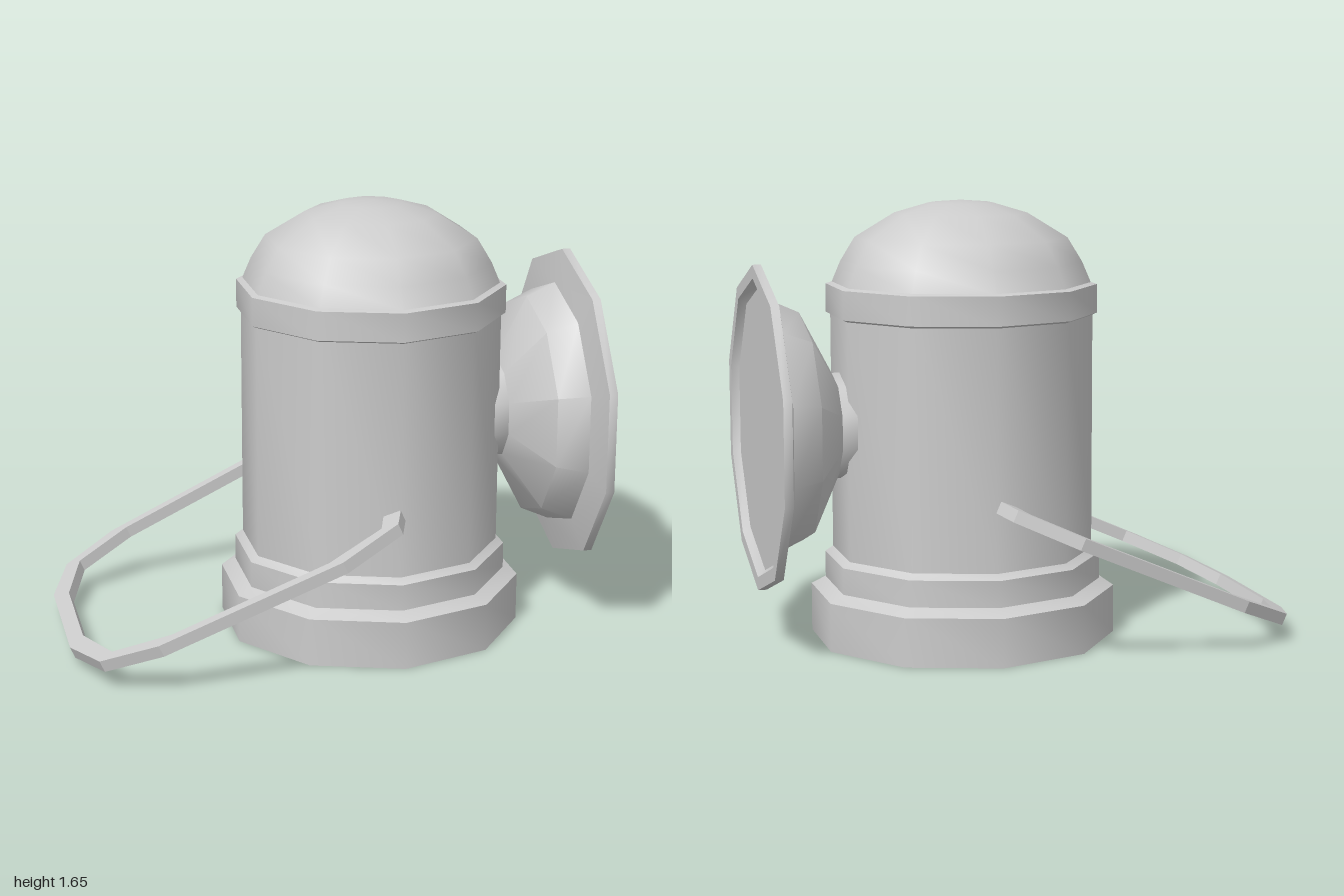
import * as THREE from 'three';
import { toCreasedNormals } from 'three/addons/utils/BufferGeometryUtils.js';

const SIDES = 10;
const BODY_X = 0.21;

// Ten-sided turned part: smooth around, sharp at the profile steps
function turned(profile) {
  const points = profile.map(([r, y]) => new THREE.Vector2(r, y));
  return toCreasedNormals(new THREE.LatheGeometry(points, SIDES), 0.7);
}

export function createModel() {
  const group = new THREE.Group();
  const material = new THREE.MeshStandardMaterial({ color: 0xcccccc });
  const add = (name, geometry, x = 0, y = 0) => {
    const mesh = new THREE.Mesh(geometry, material);
    mesh.name = name;
    mesh.position.set(x, y, 0);
    group.add(mesh);
    return mesh;
  };

  // Stepped base and cylindrical body
  add('body', turned([
    [0, 0], [0.58, 0], [0.58, 0.183], [0.525, 0.21], [0.525, 0.31],
    [0.495, 0.33], [0.495, 1.26],
  ]), BODY_X);

  // Collar and domed cap
  add('cap', turned([
    [0.49, 1.222], [0.512, 1.232], [0.512, 1.34], [0.488, 1.347],
    [0.455, 1.425], [0.4, 1.515], [0.25, 1.607], [0.12, 1.645], [0, 1.655],
  ]), BODY_X);

  // Lamp: neck, flared reflector, rim and recessed lens, turned to face +x
  const lamp = turned([
    [0, 0.6], [0.2, 0.6], [0.2, 0.71], [0.43, 0.83], [0.48, 0.942],
    [0.61, 0.968], [0.61, 1], [0.56, 1], [0.535, 0.972], [0, 0.972],
  ]);
  lamp.rotateY(Math.PI / 2).rotateZ(-Math.PI / 2);
  add('lamp', lamp, 0, 0.82);

  // Handle: open bail cut as a flat outline, then tilted downwards
  const tilt = Math.atan(0.44);
  const outer = [[0.2, 0.515], [0.165, 0.615], [-0.06, 0.702], [-0.72, 0.63], [-0.92, 0.515], [-1, 0.275]];
  const inner = [[0.14, 0.495], [0.11, 0.585], [-0.1, 0.65], [-0.665, 0.59], [-0.87, 0.485], [-0.945, 0.225]];
  const mirrored = (half) => [...half, ...half.map(([x, z]) => [x, -z]).reverse()];
  const outline = [...mirrored(outer), ...mirrored(inner).reverse()]
    .map(([x, z]) => new THREE.Vector2((x - 0.19) / Math.cos(tilt), z));
  const handle = new THREE.ExtrudeGeometry(new THREE.Shape(outline), { depth: 0.046, bevelEnabled: false });
  handle.translate(0, 0, -0.023).rotateX(-Math.PI / 2).rotateZ(tilt);
  add('handle', handle, 0.2, 0.575);

  return group;
}
